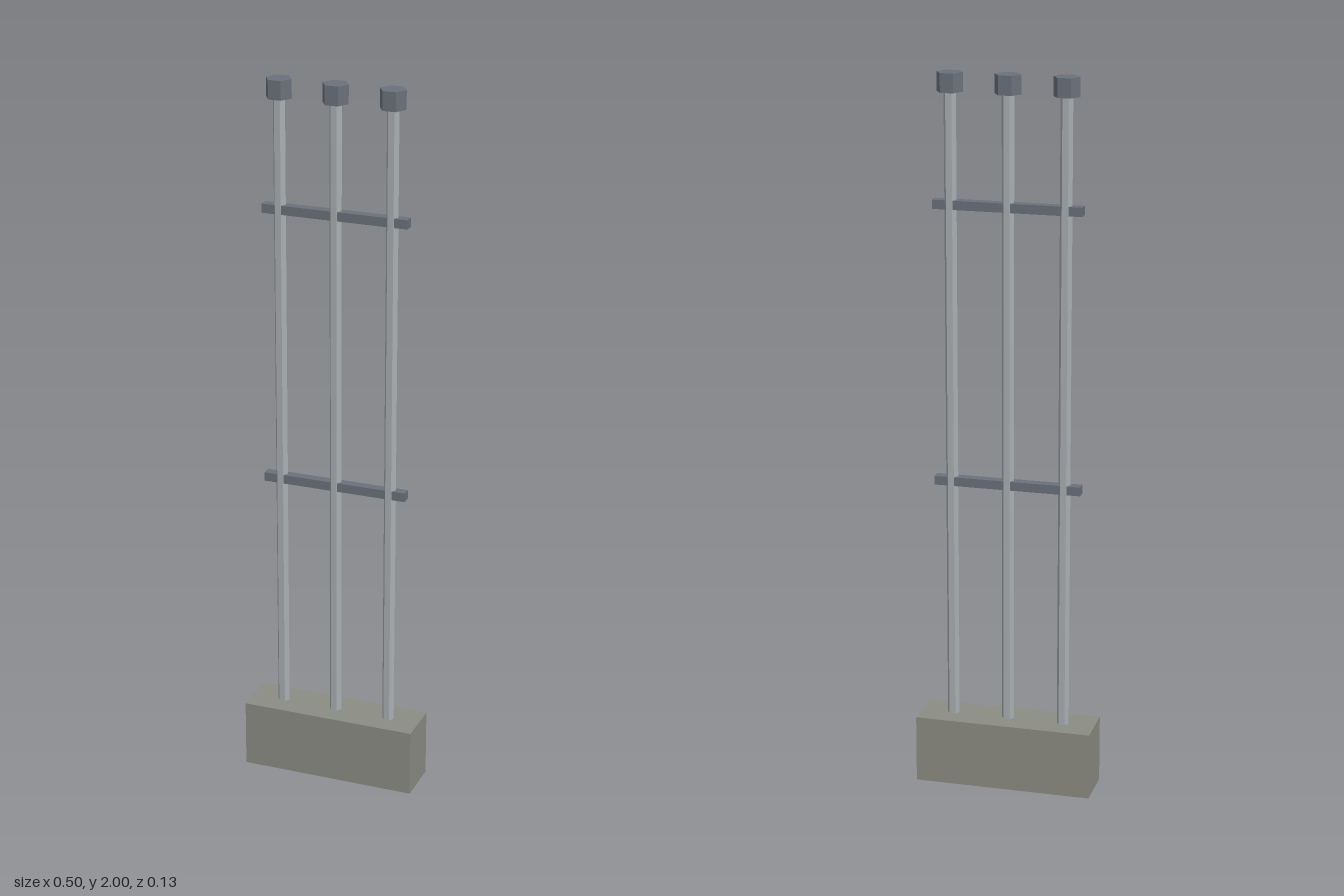
import * as THREE from 'three';

const paint = (name, color) => {
  const m = new THREE.MeshStandardMaterial({ color, flatShading: true });
  m.name = name;
  return m;
};

export function createModel() {
  const model = new THREE.Group();
  model.name = 'postRack';
  const concrete = paint('concrete grey', 0x8b8c83);
  const steel = paint('light steel', 0xa9aeb2);
  const iron = paint('dark steel', 0x6b717b);

  const add = (name, geometry, material, x, y) => {
    const mesh = new THREE.Mesh(geometry, material);
    mesh.name = name;
    mesh.position.set(x, y, 0);
    model.add(mesh);
  };
  // Six-sided prism with corners pointing along x
  const hexPrism = (r, h) => new THREE.CylinderGeometry(r, r, h, 6).rotateY(Math.PI / 6);

  // Footing block
  add('base', new THREE.BoxGeometry(0.498, 0.19, 0.134), concrete, 0, 0.095);

  // Three posts with hexagonal caps
  for (const x of [-0.158, 0, 0.158]) {
    add('post', hexPrism(0.017, 1.78), steel, x, 1.07);
    add('cap', hexPrism(0.036, 0.052), iron, x, 1.974);
  }

  // Horizontal cross rails
  for (const y of [0.877, 1.647]) {
    add('rail', new THREE.BoxGeometry(0.41, 0.025, 0.027), iron, 0, y);
  }
  return model;
}
